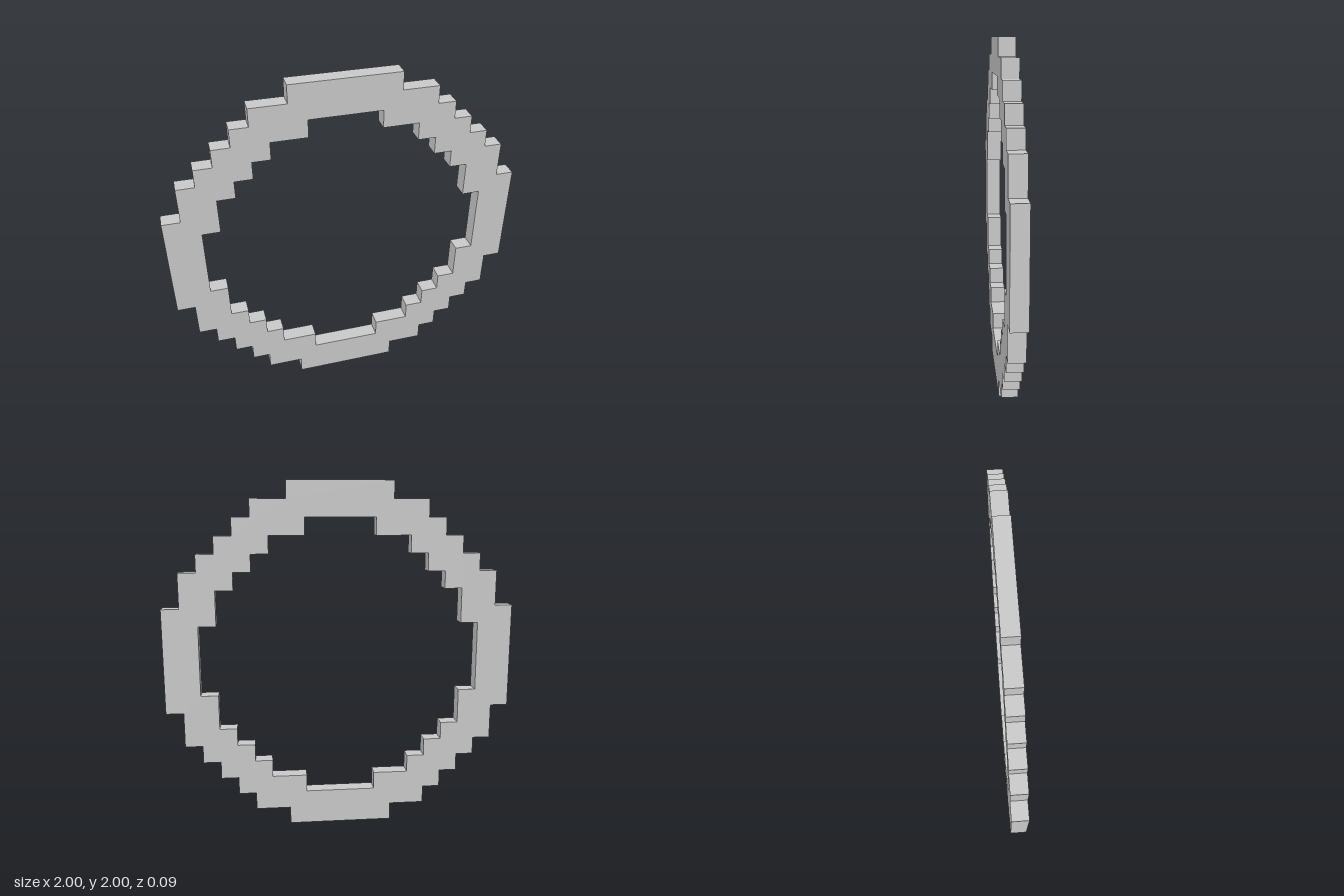
import * as THREE from 'three';

const DEPTH = 0.09;

// Stair corners of one quadrant, counter-clockwise from the +x side to the top
const OUTER = [
  [1, 0.3], [0.9, 0.3], [0.9, 0.5], [0.8, 0.5], [0.8, 0.6], [0.7, 0.6],
  [0.7, 0.7], [0.6, 0.7], [0.6, 0.8], [0.5, 0.8], [0.5, 0.9], [0.3, 0.9], [0.3, 1],
];
const INNER = [
  [0.8, 0.2], [0.7, 0.2], [0.7, 0.4], [0.6, 0.4], [0.6, 0.5], [0.5, 0.5],
  [0.5, 0.6], [0.4, 0.6], [0.4, 0.7], [0.2, 0.7], [0.2, 0.8],
];

// Repeat the quadrant in four quarter turns to close the outline
function steppedLoop(quadrant) {
  const points = [];
  let turned = quadrant;
  for (let i = 0; i < 4; i++) {
    points.push(...turned.map(([x, y]) => new THREE.Vector2(x, y)));
    turned = turned.map(([x, y]) => [-y, x]);
  }
  return points;
}

export function createModel() {
  const group = new THREE.Group();
  group.name = 'steppedRing';

  // Flat ring with a stepped outer edge and a stepped opening
  const shape = new THREE.Shape(steppedLoop(OUTER));
  shape.holes.push(new THREE.Path(steppedLoop(INNER)));
  const geometry = new THREE.ExtrudeGeometry(shape, { depth: DEPTH, bevelEnabled: false });
  geometry.translate(0, 1, -DEPTH / 2);

  const ring = new THREE.Mesh(
    geometry,
    new THREE.MeshStandardMaterial({ color: 0xcccccc, flatShading: true }),
  );
  ring.name = 'ring';
  group.add(ring);
  return group;
}
